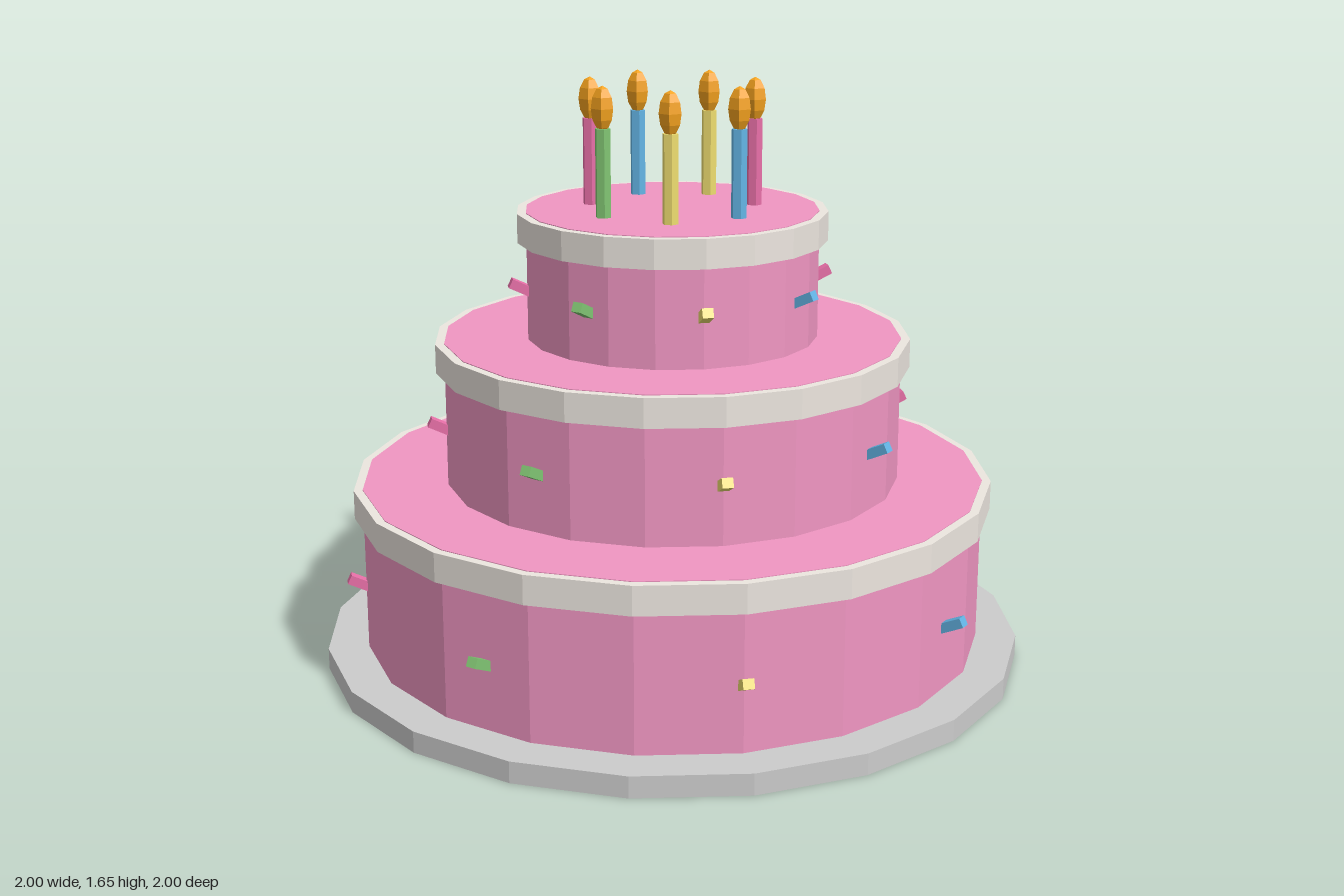
import * as THREE from 'three';

const material = (color) => new THREE.MeshStandardMaterial({ color, flatShading: true });

export function createModel() {
  const cake = new THREE.Group();
  cake.name = 'tieredCake';

  const sponge = material(0xf096c2);
  const icing = material(0xece6df);
  const plateGrey = material(0xdedee0);
  const flame = material(0xf5a31f);
  // pink, blue, yellow, green
  const sweets = [0xe870a8, 0x64b5e6, 0xeedd70, 0x81c573].map(material);

  const add = (parent, name, geometry, mat, x = 0, y = 0, z = 0) => {
    const mesh = new THREE.Mesh(geometry, mat);
    mesh.name = name;
    mesh.position.set(x, y, z);
    parent.add(mesh);
    return mesh;
  };
  // upright prism between two heights
  const disc = (parent, name, radius, y0, y1, mat, sides = 20) =>
    add(parent, name, new THREE.CylinderGeometry(radius, radius, y1 - y0, sides), mat, 0, (y0 + y1) / 2, 0);

  disc(cake, 'plate', 1, 0, 0.06, plateGrey);

  // tiers: sponge, overhanging icing band and a ring of sprinkles
  const tiers = [
    { name: 'bottomTier', r: 0.885, y0: 0.06, y1: 0.53, sprinkleY: 0.253 },
    { name: 'middleTier', r: 0.645, y0: 0.53, y1: 0.94, sprinkleY: 0.7 },
    { name: 'topTier', r: 0.41, y0: 0.94, y1: 1.298, sprinkleY: 1.087 },
  ];
  const sprinkleGeometry = new THREE.BoxGeometry(0.08, 0.027, 0.03);
  for (const { name, r, y0, y1, sprinkleY } of tiers) {
    const tier = new THREE.Group();
    tier.name = name;
    cake.add(tier);
    disc(tier, 'sponge', r, y0, y1, sponge);
    disc(tier, 'icing', r + 0.025, y1 - 0.083, y1 - 0.002, icing);
    for (let i = 0; i < 8; i++) {
      const a = (i * Math.PI) / 4;
      const d = r + 0.011;
      const sprinkle = add(tier, 'sprinkle', sprinkleGeometry, sweets[i % 4],
        d * Math.cos(a), sprinkleY, d * Math.sin(a));
      // point outwards, tipped up
      sprinkle.rotation.set(0, -a, 0.45, 'YXZ');
    }
  }

  // candles in a circle on the top tier
  const flameGeometry = new THREE.SphereGeometry(0.032, 5, 6).scale(1, 1.9, 1);
  for (let i = 0; i < 7; i++) {
    const a = (i * Math.PI * 2) / 7;
    const candle = new THREE.Group();
    candle.name = 'candle';
    candle.position.set(0.235 * Math.cos(a), 0, 0.235 * Math.sin(a));
    cake.add(candle);
    disc(candle, 'candleStick', 0.022, 1.295, 1.54, sweets[i % 4], 6);
    add(candle, 'flame', flameGeometry, flame, 0, 1.594, 0);
  }
  return cake;
}
